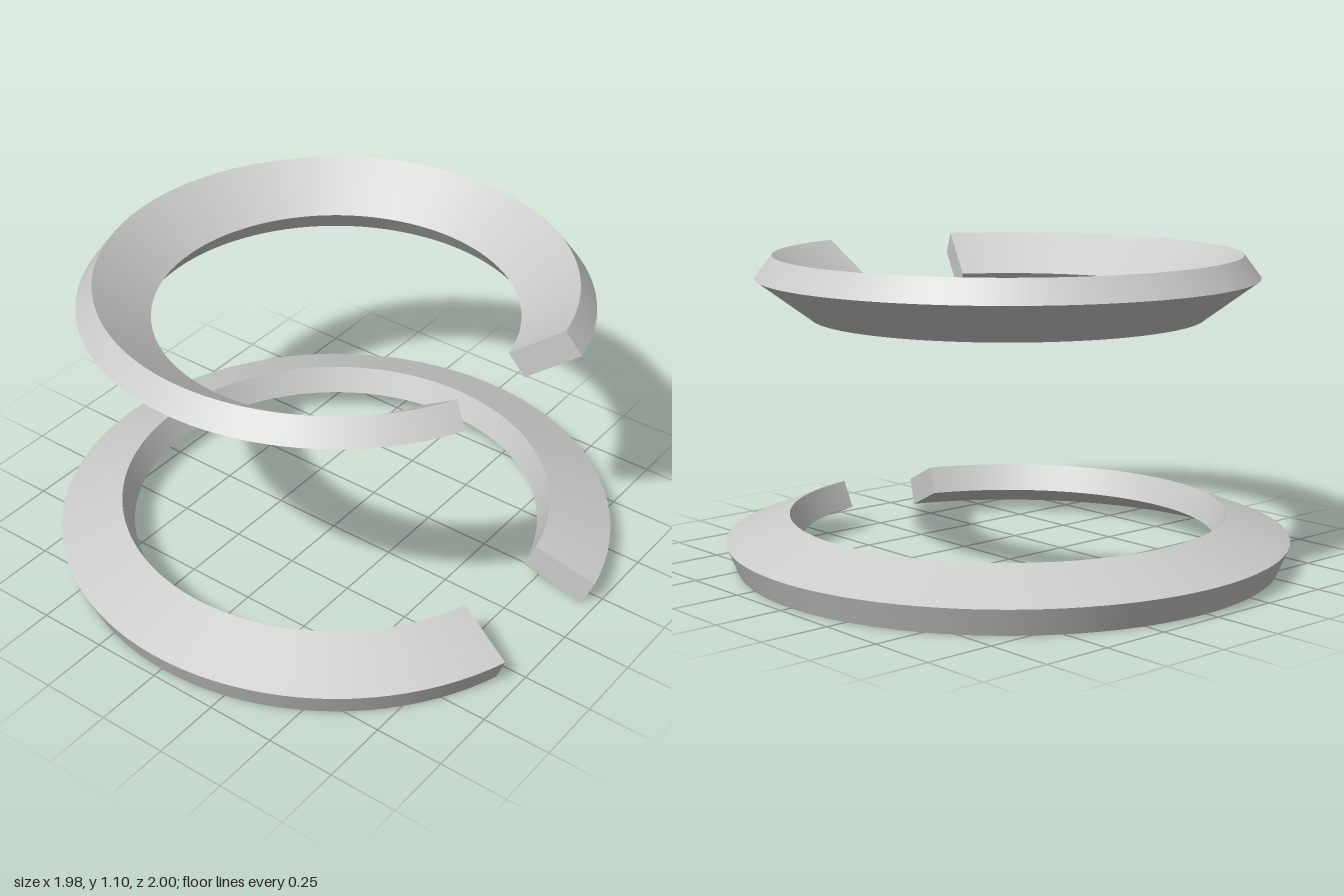
import * as THREE from 'three';
import { mergeGeometries } from 'three/addons/utils/BufferGeometryUtils.js';

const CENTRE_X = 0.01;
const rad = THREE.MathUtils.degToRad;

// Flat end cap: the cross-section stood up at a given angle around the ring.
function endCap(profile, mirror, rotation) {
  const shape = new THREE.Shape(profile.map(p => new THREE.Vector2(p.x * mirror, p.y)));
  return new THREE.ShapeGeometry(shape).rotateY(rotation);
}

// Open ring swept from a cross-section given counter-clockwise as [radius, height].
// frontDeg and backDeg are the gap angles either side of +x.
function splitRing(name, corners, frontDeg, backDeg, material) {
  const profile = corners.map(([r, y]) => new THREE.Vector2(r, y));
  const start = rad(90 + backDeg);
  const sweep = rad(360 - frontDeg - backDeg);
  // One swept band per side keeps the corner edges sharp
  const parts = profile.map((p, i) =>
    new THREE.LatheGeometry([p, profile[(i + 1) % profile.length]], 96, start, sweep));
  parts.push(endCap(profile, 1, rad(backDeg)));
  parts.push(endCap(profile, -1, Math.PI - rad(frontDeg)));
  const mesh = new THREE.Mesh(mergeGeometries(parts), material);
  mesh.name = name;
  mesh.position.x = CENTRE_X;
  return mesh;
}

export function createModel() {
  const group = new THREE.Group();
  group.name = 'splitRings';
  const material = new THREE.MeshStandardMaterial({ color: 0xcccccc });

  // Lower ring slopes down towards the outside
  group.add(splitRing('lowerRing',
    [[0.96, 0], [1, 0.095], [0.775, 0.185], [0.735, 0.09]], 18.6, 11.6, material));
  // Upper ring slopes up towards the outside
  group.add(splitRing('upperRing',
    [[0.69, 0.88], [0.88, 1.02], [0.82, 1.1], [0.63, 0.96]], 26, 11.8, material));
  return group;
}
